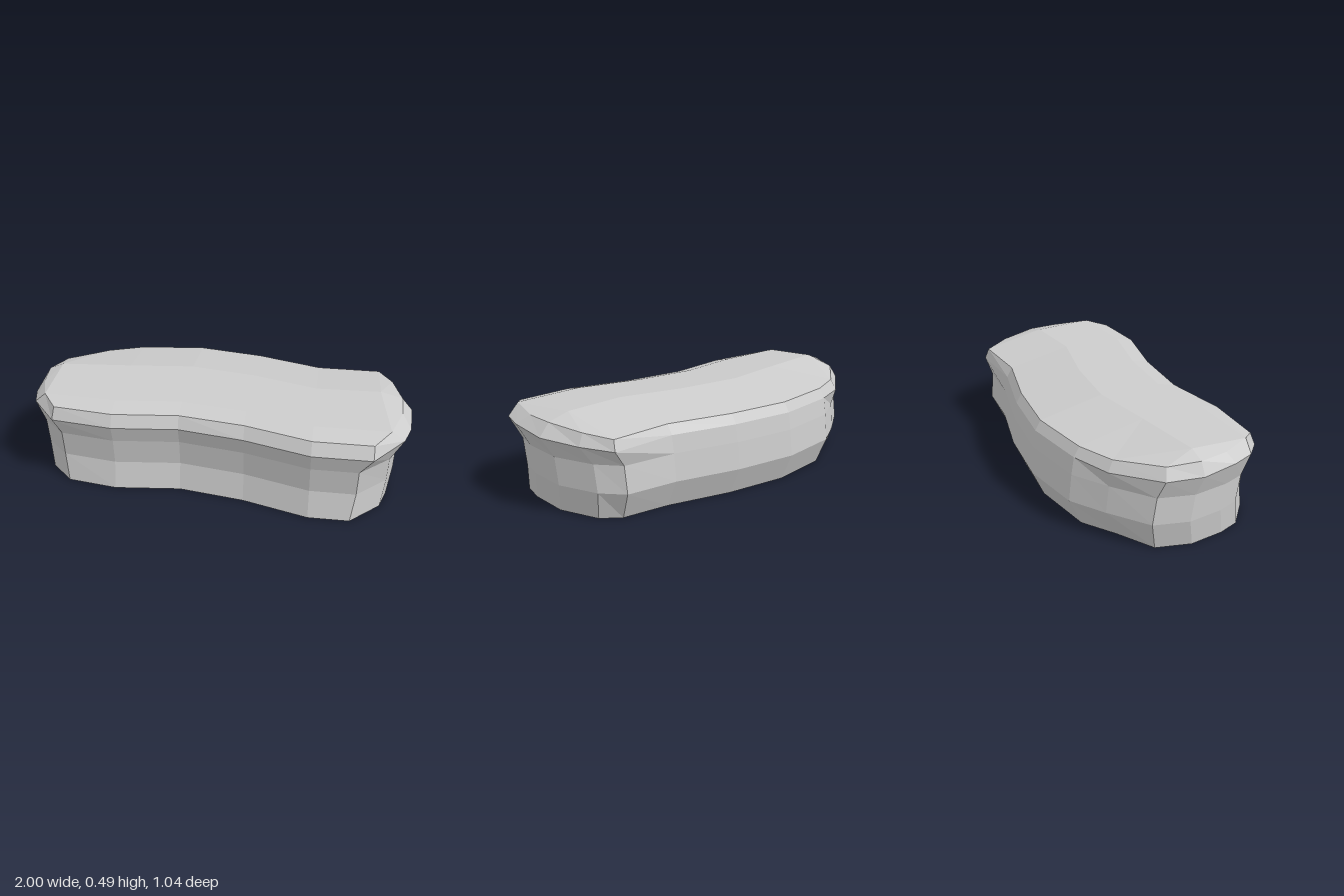
import * as THREE from 'three';

// Widest outline [x, z, rim height]: back left to right, right end, front right to left, left end.
const OUTLINE = [
  [-0.72, -0.39, 0.37], [-0.52, -0.49, 0.375], [-0.18, -0.525, 0.375], [0.16, -0.47, 0.375], [0.5, -0.37, 0.375],
  [0.84, -0.33, 0.37], [0.93, -0.18, 0.38], [1, 0.03, 0.39], [0.985, 0.25, 0.405], [0.95, 0.37, 0.41],
  [0.8, 0.52, 0.375], [0.5, 0.52, 0.375], [0.16, 0.42, 0.375], [-0.18, 0.365, 0.375], [-0.52, 0.4, 0.375],
  [-0.84, 0.36, 0.375], [-0.96, 0.24, 0.41], [-0.99, 0.13, 0.405], [-1, -0.05, 0.39], [-0.94, -0.22, 0.38],
];

// Inner edge of the bevel above the rim [x, y, z], same order.
const TOP = [
  [-0.71, 0.425, -0.36], [-0.52, 0.425, -0.43], [-0.18, 0.425, -0.465], [0.16, 0.425, -0.41], [0.5, 0.425, -0.31],
  [0.83, 0.425, -0.31], [0.9, 0.44, -0.17], [0.945, 0.455, 0.03], [0.94, 0.455, 0.185], [0.88, 0.465, 0.385],
  [0.8, 0.44, 0.485], [0.5, 0.44, 0.485], [0.16, 0.44, 0.385], [-0.18, 0.44, 0.335], [-0.52, 0.44, 0.37],
  [-0.83, 0.44, 0.335], [-0.9, 0.465, 0.25], [-0.95, 0.455, 0.1], [-0.965, 0.455, -0.05], [-0.91, 0.44, -0.2],
];

// Wall levels: how far each side moves from the outline.
const LEVELS = [
  { y: 0, right: 0.09, left: 0.06, back: 0.065, end: -0.01, front: -0.01 },
  { y: 0.145, right: 0.067, left: 0.04, back: 0, end: -0.04, front: -0.04 },
  { y: 0.285, right: 0.063, left: 0.038, back: 0.015, end: -0.02, front: -0.025 },
];

function wallRing({ y, right, left, back, end, front }) {
  return OUTLINE.map(([x, z], i) => {
    const dx = i >= 5 && i <= 10 ? -right : i >= 15 ? left : i === 0 ? left / 2 : 0;
    const dz = i <= 5 ? back : i >= 10 && i <= 15 ? front : end;
    return [x + dx, y, z + dz];
  });
}

function facetedMesh(name, quads) {
  const positions = quads.flatMap((q) =>
    q.length === 3 ? q.flat() : [q[0], q[1], q[2], q[0], q[2], q[3]].flat());
  const geometry = new THREE.BufferGeometry();
  geometry.setAttribute('position', new THREE.Float32BufferAttribute(positions, 3));
  geometry.computeVertexNormals();
  const mesh = new THREE.Mesh(geometry, new THREE.MeshStandardMaterial({ color: 0xcccccc, flatShading: true }));
  mesh.name = name;
  return mesh;
}

// Band of faces between two closed rings.
function band(lower, upper) {
  return lower.map((p, i) => {
    const j = (i + 1) % lower.length;
    return [p, upper[i], upper[j], lower[j]];
  });
}

// Strip between two rows running left to right, rear row first.
function strip(rear, fore) {
  return rear.slice(1).map((p, i) => [rear[i], fore[i], fore[i + 1], p]);
}

export function createModel() {
  const group = new THREE.Group();
  group.name = 'curvedBench';

  const rings = LEVELS.map(wallRing);
  // The rim overhangs at the front and ends and leans inwards along the back.
  const rim = OUTLINE.map(([x, z, y], i) => [x, y, z + (i >= 1 && i <= 4 ? 0.03 : 0)]);

  // Base walls and underside
  const underside = rings[0].map((p, i, ring) => [[0, 0, 0], p, ring[(i + 1) % ring.length]]);
  group.add(facetedMesh('base', [
    ...underside, ...band(rings[0], rings[1]), ...band(rings[1], rings[2]),
  ]));

  // Overhanging lip and its bevel
  group.add(facetedMesh('rim', [...band(rings[2], rim), ...band(rim, TOP)]));

  // Gently crowned top, in strips that follow the curve
  const stations = [1, 2, 3, 4];
  const backRow = TOP.slice(0, 6);
  const crest = [
    [-0.89, 0.485, -0.05],
    ...stations.map((i) => [TOP[i][0], 0.485, TOP[i][2] + 0.35]),
    [0.83, 0.485, 0.03],
  ];
  const foreRow = [
    TOP[16],
    ...stations.map((i) => [TOP[i][0], 0.465, TOP[15 - i][2] - 0.1]),
    TOP[9],
  ];
  const frontRow = TOP.slice(10, 16).reverse();
  const fan = (centre, from, to) => {
    const faces = [];
    for (let k = from; k < to; k++) faces.push([centre, TOP[(k + 1) % TOP.length], TOP[k]]);
    return faces;
  };
  group.add(facetedMesh('seatTop', [
    ...strip(backRow, crest), ...strip(crest, foreRow), ...strip(foreRow, frontRow),
    ...fan(crest[5], 5, 9), ...fan(crest[0], 16, 20),
  ]));

  return group;
}
